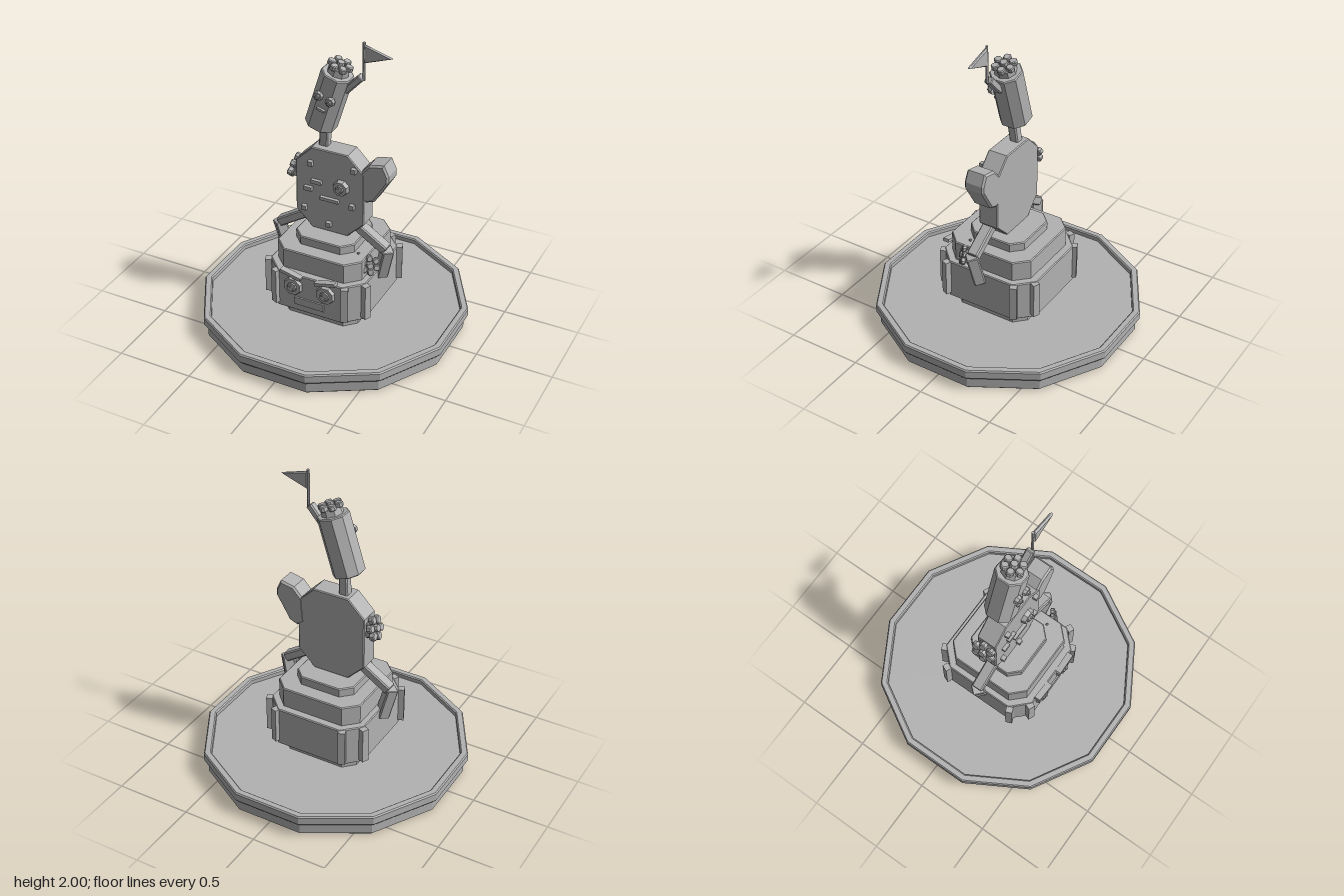
import * as THREE from 'three';

const stone = new THREE.MeshStandardMaterial({ color: 0xb2b2b2, flatShading: true });
stone.name = 'stone grey';
const V = (x, y, z) => new THREE.Vector3(x, y, z);
const UP = V(0, 1, 0);

function add(parent, name, geometry, x = 0, y = 0, z = 0) {
  const mesh = new THREE.Mesh(geometry, stone);
  mesh.name = name;
  mesh.position.set(x, y, z);
  parent.add(mesh);
  return mesh;
}

// Prism from a front outline, centred on z, with a fine bevel kept inside the outline
function prism(points, depth, bevel = 0.006) {
  const shape = new THREE.Shape(points.map(([x, y]) => new THREE.Vector2(x, y)));
  return new THREE.ExtrudeGeometry(shape, {
    depth: depth - 2 * bevel, bevelEnabled: true, bevelSegments: 1,
    bevelSize: bevel, bevelOffset: -bevel, bevelThickness: bevel,
  }).translate(0, 0, bevel - depth / 2);
}

// Rectangle with cut corners
function octagon(w, h, c) {
  const a = w / 2, b = h / 2;
  return [[a, c - b], [a, b - c], [a - c, b], [c - a, b], [-a, b - c], [-a, c - b], [c - a, -b], [a - c, -b]];
}

// Upright cut-corner block standing from y0 to y1
function tier(parent, name, w, d, c, y0, y1) {
  const geometry = prism(octagon(w, d, c), y1 - y0).rotateX(-Math.PI / 2);
  return add(parent, name, geometry, 0, (y0 + y1) / 2, 0);
}

// Limb with cut edges between two points
function bar(parent, name, a, b, w, d) {
  const dir = b.clone().sub(a);
  const geometry = prism(octagon(w, d, 0.008), dir.length(), 0.005).rotateX(-Math.PI / 2);
  const mesh = add(parent, name, geometry);
  mesh.position.copy(a).add(b).multiplyScalar(0.5);
  mesh.quaternion.setFromUnitVectors(UP, dir.normalize());
}

// Bolt-like eye facing +z: plate, iris and two glints
function eye(parent, name, x, y, z, r, depth) {
  const g = new THREE.Group();
  g.name = name;
  g.position.set(x, y, z);
  parent.add(g);
  const plate = new THREE.CylinderGeometry(r * 0.88, r, depth, 8, 1).rotateX(Math.PI / 2).rotateZ(Math.PI / 8);
  add(g, 'eyePlate', plate, 0, 0, depth / 2);
  add(g, 'iris', new THREE.CylinderGeometry(r * 0.5, r * 0.5, 0.014, 8).rotateX(Math.PI / 2), 0, 0, depth + 0.004);
  add(g, 'glint', new THREE.BoxGeometry(r * 0.22, r * 0.22, 0.012), -r * 0.2, r * 0.2, depth + 0.012);
  add(g, 'glint', new THREE.BoxGeometry(r * 0.15, r * 0.15, 0.012), r * 0.2, -r * 0.15, depth + 0.012);
}

// Six-petal flower whose face points along the normal
function flower(parent, name, centre, normal, r) {
  const g = new THREE.Group();
  g.name = name;
  g.position.copy(centre);
  g.quaternion.setFromUnitVectors(UP, normal.normalize());
  parent.add(g);
  const petal = prism(octagon(r * 0.62, r * 0.56, r * 0.15), r * 0.42, 0.005).rotateX(-Math.PI / 2);
  for (let i = 0; i < 6; i++) {
    const a = i * Math.PI / 3 + 0.2;
    add(g, 'petal', petal, Math.cos(a) * r * 0.68, 0, -Math.sin(a) * r * 0.68).rotation.y = a;
  }
  add(g, 'flowerCentre', new THREE.CylinderGeometry(r * 0.28, r * 0.38, r * 0.55, 8), 0, 0.003, 0);
}

export function createModel() {
  const model = new THREE.Group();
  model.name = 'stackedFigures';

  // Twelve-sided plinth with a raised rim
  const k = 1 / Math.cos(Math.PI / 12);
  const profile = [[0, 0], [0.81, 0], [0.82, 0.01], [0.82, 0.09], [0.838, 0.09], [0.845, 0.1],
    [0.845, 0.148], [0.838, 0.157], [0.805, 0.157], [0.797, 0.15], [0.797, 0.122], [0, 0.122]];
  add(model, 'plinth', new THREE.LatheGeometry(
    profile.map(([r, y]) => new THREE.Vector2(r * k, y)), 12, Math.PI / 12));

  // Lower figure: stacked blocks
  tier(model, 'foot', 0.525, 0.525, 0.07, 0.115, 0.215);
  tier(model, 'lowerBody', 0.67, 0.69, 0.11, 0.208, 0.478);
  tier(model, 'lowerShoulder', 0.59, 0.59, 0.085, 0.47, 0.612);
  tier(model, 'seat', 0.41, 0.4, 0.068, 0.605, 0.67);

  // Ribs on the eight body corners
  const rib = new THREE.BoxGeometry(0.046, 0.24, 0.04);
  for (const sx of [-1, 1]) for (const sz of [-1, 1]) {
    add(model, 'rib', rib, sx * 0.24, 0.355, sz * 0.343).rotation.y = sx * sz * Math.PI / 8;
    add(model, 'rib', rib, sx * 0.343, 0.355, sz * 0.25).rotation.y = sx * sz * Math.PI * 3 / 8;
  }

  // Lower face
  for (const s of [-1, 1]) {
    eye(model, 'lowerEye', s * 0.114, 0.393, 0.34, 0.067, 0.026);
    const brow = add(model, 'lowerBrow', new THREE.BoxGeometry(0.145, 0.022, 0.042), s * 0.12, 0.488, 0.36);
    brow.rotation.z = s * 0.24;
  }
  add(model, 'lowerMouth', new THREE.BoxGeometry(0.205, 0.053, 0.02), -0.003, 0.287, 0.345);

  // Flower on the lower shoulder
  bar(model, 'flowerStem', V(0.26, 0.56, 0.06), V(0.305, 0.56, 0.135), 0.04, 0.04);
  flower(model, 'shoulderFlower', V(0.315, 0.553, 0.14), V(0.6, 0.2, 0.75), 0.068);
  add(model, 'bead', new THREE.IcosahedronGeometry(0.01, 0), 0.235, 0.617, 0.138);

  // Middle figure: slab torso
  add(model, 'torso', prism(octagon(0.47, 0.58, 0.113), 0.136), 0, 0.957, 0.002);
  for (const [x, y] of [[-0.125, 1.14], [0.17, 1.16], [0.16, 0.9], [-0.17, 0.81], [0, 0.73]])
    add(model, 'stud', new THREE.BoxGeometry(0.032, 0.032, 0.036), x, y, 0.08);
  eye(model, 'torsoEye', 0.083, 1.015, 0.068, 0.055, 0.032);
  add(model, 'torsoBrow', new THREE.BoxGeometry(0.07, 0.025, 0.03), -0.085, 1.015, 0.078);
  add(model, 'torsoCheek', new THREE.BoxGeometry(0.053, 0.028, 0.03), -0.143, 0.955, 0.078);
  add(model, 'torsoMouth', new THREE.BoxGeometry(0.125, 0.022, 0.03), 0.005, 0.91, 0.078);

  // Ear-like lobe and side flower
  add(model, 'sideLobe', prism([[0.19, 0.98], [0.245, 0.945], [0.3, 0.965], [0.393, 1.12],
    [0.393, 1.165], [0.36, 1.235], [0.265, 1.215], [0.205, 1.15]], 0.136, 0.012));
  bar(model, 'sideFlowerMount', V(-0.22, 1.04, 0.005), V(-0.262, 1.053, 0.005), 0.1, 0.1);
  flower(model, 'sideFlower', V(-0.272, 1.052, 0.005), V(-0.95, 0.28, 0.05), 0.084);

  // Bent legs
  for (const s of [-1, 1]) {
    bar(model, 'thigh', V(s * 0.18, 0.745, 0.025), V(s * 0.375, 0.62, 0.025), 0.06, 0.075);
    bar(model, 'shin', V(s * 0.382, 0.625, 0.03), V(s * 0.332, 0.41, 0.008), 0.075, 0.075);
  }

  // Top figure: neck and leaning head
  bar(model, 'neck', V(-0.07, 1.23, -0.008), V(-0.055, 1.42, 0.01), 0.06, 0.06);
  const head = new THREE.Group();
  head.name = 'head';
  head.position.set(-0.032, 1.575, 0.006);
  head.rotation.z = -0.3;
  model.add(head);
  tier(head, 'headBlock', 0.186, 0.186, 0.05, -0.195, 0.195);
  add(head, 'headCap', new THREE.CylinderGeometry(0.065, 0.07, 0.05, 8), 0, 0.213, 0);
  flower(head, 'headFlower', V(0, 0.248, 0), V(0, 1, 0), 0.08);
  eye(head, 'headEye', -0.038, 0.047, 0.088, 0.031, 0.026);
  eye(head, 'headEye', 0.042, 0.046, 0.088, 0.031, 0.026);
  add(head, 'headMouth', new THREE.BoxGeometry(0.056, 0.016, 0.03), 0.003, -0.034, 0.094);

  // Raised arm with pennant
  bar(model, 'raisedArm', V(0.085, 1.66, 0.015), V(0.19, 1.775, 0.02), 0.045, 0.05);
  add(model, 'flagpole', new THREE.CylinderGeometry(0.009, 0.009, 0.245, 6), 0.202, 1.8775, 0.022);
  add(model, 'pennant', prism([[0.205, 1.868], [0.388, 1.934], [0.205, 1.988]], 0.022, 0.008), 0, 0, 0.024);

  return model;
}
